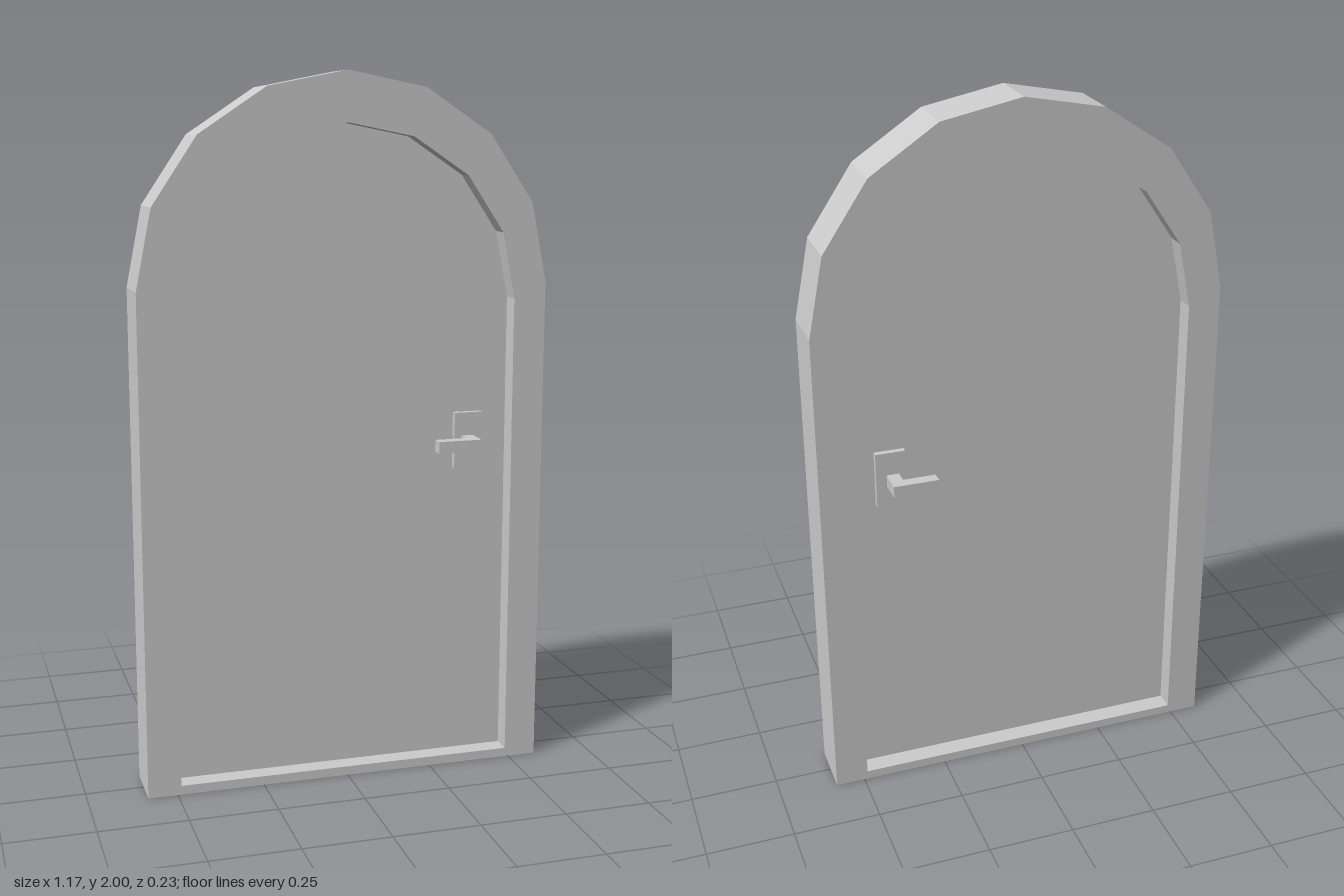
import * as THREE from 'three';

const material = new THREE.MeshStandardMaterial({ color: 0xcccccc, flatShading: true });

// Outline of an arched opening: straight jambs under an eight-sided half round
function archPoints(halfWidth, bottom, spring, top) {
  const points = [new THREE.Vector2(-halfWidth, bottom), new THREE.Vector2(halfWidth, bottom)];
  for (let i = 0; i <= 8; i++) {
    const a = (i / 8) * Math.PI;
    points.push(new THREE.Vector2(halfWidth * Math.cos(a), spring + (top - spring) * Math.sin(a)));
  }
  return points;
}

// Extrusion centred on z = 0
function slab(name, shape, depth) {
  const geometry = new THREE.ExtrudeGeometry(shape, { depth, bevelEnabled: false });
  geometry.translate(0, 0, -depth / 2);
  const mesh = new THREE.Mesh(geometry, material);
  mesh.name = name;
  return mesh;
}

// Box given by its limits on each axis
function box(name, [x0, x1], [y0, y1], [z0, z1]) {
  const mesh = new THREE.Mesh(new THREE.BoxGeometry(x1 - x0, y1 - y0, z1 - z0), material);
  mesh.position.set((x0 + x1) / 2, (y0 + y1) / 2, (z0 + z1) / 2);
  mesh.name = name;
  return mesh;
}

// Z limits on the front (side = 1) or back (side = -1)
const span = (side, a, b) => (side > 0 ? [a, b] : [-b, -a]);

function createHandle(side) {
  const handle = new THREE.Group();
  handle.name = side > 0 ? 'frontHandle' : 'backHandle';
  handle.add(
    box('backplate', [0.33, 0.415], [0.885, 1.047], span(side, 0.02, 0.042)),
    box('neck', [0.35, 0.385], [0.946, 0.98], span(side, 0.04, 0.082)),
    box('lever', [0.257, 0.385], [0.946, 0.98], span(side, 0.082, 0.116)),
  );
  return handle;
}

export function createModel() {
  const door = new THREE.Group();
  door.name = 'archedDoor';

  // Frame with its opening, and the recessed leaf inside it
  const opening = archPoints(0.49, 0.026, 1.375, 1.862);
  const frameShape = new THREE.Shape(archPoints(0.584, 0, 1.42, 2));
  frameShape.holes.push(new THREE.Path(opening));
  door.add(slab('frame', frameShape, 0.16));
  door.add(slab('doorLeaf', new THREE.Shape(opening), 0.05));

  // Handles on both faces
  for (const side of [1, -1]) door.add(createHandle(side));
  return door;
}
